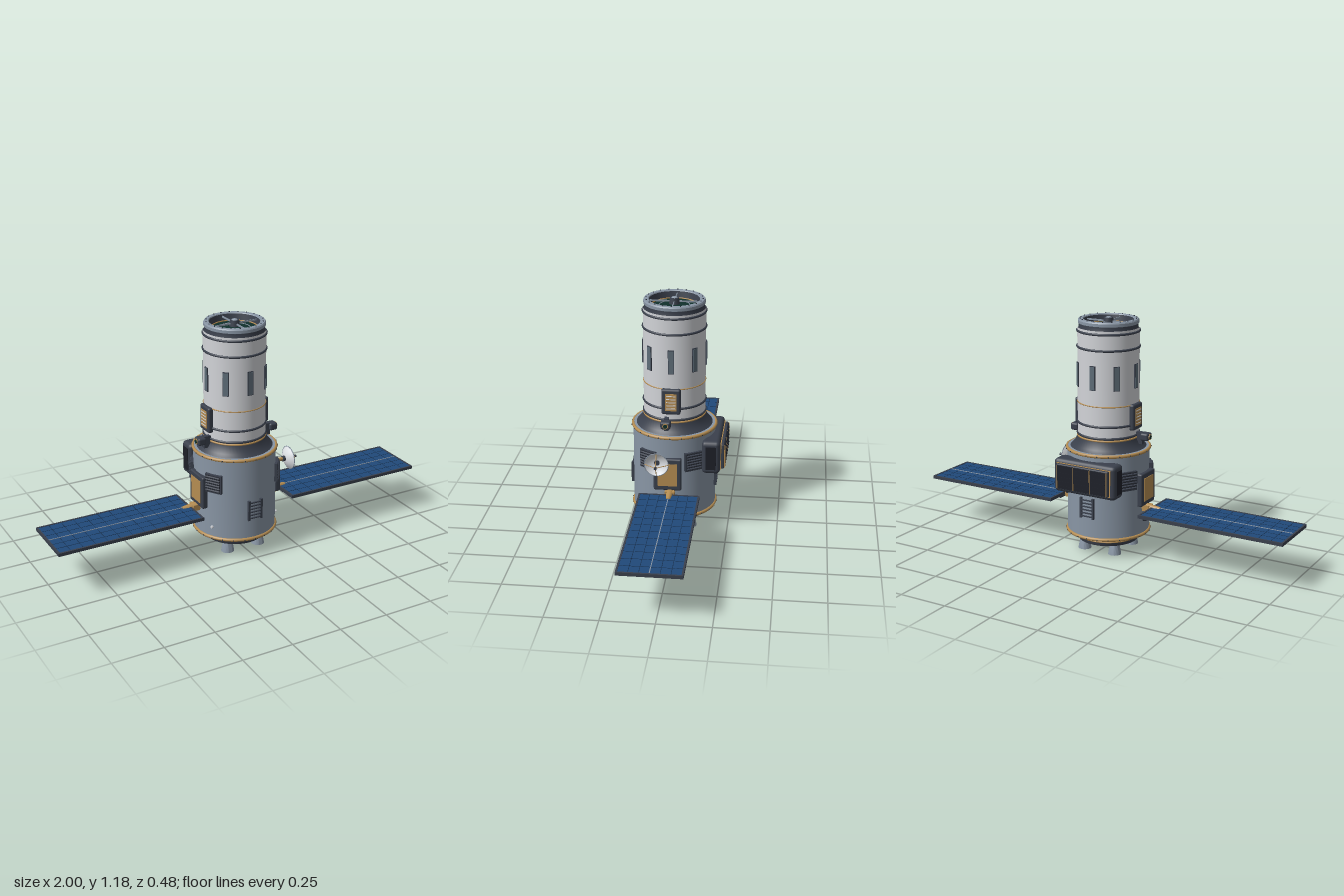
import * as THREE from 'three';
import { toCreasedNormals } from 'three/addons/utils/BufferGeometryUtils.js';
import { RoundedBoxGeometry } from 'three/addons/geometries/RoundedBoxGeometry.js';

const mat = (name, color, side = THREE.FrontSide) => {
  const m = new THREE.MeshStandardMaterial({ color, side });
  m.name = name;
  return m;
};

export function createModel() {
  const white = mat('pale grey', 0xd2d4d8), hull = mat('blue grey', 0x8996a5);
  const dark = mat('charcoal', 0x3a404c), gold = mat('gold', 0xb58d52);
  const blue = mat('solar blue', 0x20497a), line = mat('cell line', 0x16304f);
  const glass = mat('slate window', 0x5e6d78), black = mat('near black', 0x1d2028);
  const lens = mat('dark green lens', 0x10302c), dishMat = mat('dish white', 0xdcdfe3, THREE.DoubleSide);

  const model = new THREE.Group();
  model.name = 'spaceTelescope';
  const root = new THREE.Group();
  root.name = 'spacecraft';
  root.position.z = 0.026;
  model.add(root);

  const put = (parent, name, geo, m, x = 0, y = 0, z = 0) => {
    const mesh = new THREE.Mesh(geo, m);
    mesh.name = name;
    mesh.position.set(x, y, z);
    parent.add(mesh);
    return mesh;
  };
  const box = (p, name, m, w, h, d, x, y, z) => put(p, name, new THREE.BoxGeometry(w, h, d), m, x, y, z);
  const rbox = (p, name, m, w, h, d, r, x, y, z) => put(p, name, new RoundedBoxGeometry(w, h, d, 2, r), m, x, y, z);
  const cyl = (p, name, m, rTop, rBot, h, x, y, z, seg = 20) =>
    put(p, name, new THREE.CylinderGeometry(rTop, rBot, h, seg), m, x, y, z);
  // cylinder whose top end points along local +z
  const outCyl = (...a) => { const c = cyl(...a); c.rotation.x = Math.PI / 2; return c; };
  const ring = (name, m, r, tube, y) => {
    const t = put(root, name, new THREE.TorusGeometry(r, tube, 8, 64), m, 0, y, 0);
    t.rotation.x = Math.PI / 2;
    return t;
  };
  const lathe = (name, m, pts) => put(root, name, toCreasedNormals(
    new THREE.LatheGeometry(pts.map(p => new THREE.Vector2(p[0], p[1])), 64), 0.5), m);
  // group on the hull surface with local +z pointing outward
  const mount = (name, angle, r, y, parent = root) => {
    const g = new THREE.Group();
    g.name = name;
    g.rotation.y = angle;
    g.position.set(Math.sin(angle) * r, y, Math.cos(angle) * r);
    parent.add(g);
    return g;
  };

  // main hull, collar and base
  lathe('equipmentSection', hull, [[0, 0.095], [0.205, 0.095], [0.205, 0.535], [0, 0.535]]);
  lathe('collar', dark, [[0.19, 0.534], [0.173, 0.548], [0.151, 0.59], [0.151, 0.605], [0, 0.605]]);
  lathe('basePlate', dark, [[0, 0.05], [0.15, 0.05], [0.153, 0.056], [0.153, 0.095]]);
  ring('baseGoldRing', gold, 0.152, 0.004, 0.07);
  for (const y of [0.102, 0.528]) {
    ring('hullGoldRing', gold, 0.205, 0.0085, y);
    for (let i = 0; i < 24; i++) {
      const g = mount('ringBolt', i * Math.PI / 12, 0.213, y);
      outCyl(g, 'boltHead', dark, 0.003, 0.003, 0.005, 0, 0, 0, 6);
    }
  }

  // four engine nozzles
  for (const x of [-0.087, 0.087]) for (const z of [-0.087, 0.087]) {
    const pts = [[0.018, 0.004], [0.027, 0], [0.033, 0], [0.03, 0.018], [0.024, 0.044], [0.022, 0.052]];
    const n = lathe('engineNozzle', hull, pts);
    n.position.set(x, 0, z);
    cyl(root, 'nozzleThroat', black, 0.027, 0.027, 0.004, x, 0.004, z);
  }

  // telescope barrel with open top
  lathe('barrel', white, [[0.152, 0.6], [0.152, 1.13]]);
  lathe('apertureNeck', dark, [[0.153, 1.11], [0.145, 1.13], [0.145, 1.15]]);
  lathe('apertureRim', hull, [[0.143, 1.146], [0.149, 1.15], [0.149, 1.164], [0.145, 1.17], [0.125, 1.17], [0.122, 1.165]]);
  lathe('apertureWall', dark, [[0.122, 1.166], [0.115, 1.13]]);
  cyl(root, 'primaryLens', lens, 0.117, 0.117, 0.006, 0, 1.13, 0, 64);
  ring('innerGoldRing', gold, 0.112, 0.003, 1.135);
  ring('innerLensRing', hull, 0.075, 0.002, 1.134);
  for (let i = 0; i < 2; i++) box(root, 'spiderVane', hull, 0.244, 0.008, 0.004, 0, 1.155, 0).rotation.y = i * Math.PI / 2;
  cyl(root, 'secondaryHub', dark, 0.022, 0.026, 0.03, 0, 1.158, 0);
  cyl(root, 'hubCap', hull, 0.012, 0.016, 0.004, 0, 1.174, 0);
  for (let i = 0; i < 20; i++) {
    const a = i * Math.PI / 10;
    cyl(root, 'rimBolt', dark, 0.003, 0.003, 0.005, Math.sin(a) * 0.137, 1.171, Math.cos(a) * 0.137, 6);
  }
  for (const y of [0.602, 0.66, 1.035, 1.113]) ring('barrelBand', dark, 0.152, 0.006, y);
  ring('barrelGoldBand', gold, 0.152, 0.003, 0.76);
  ring('lowerGoldBand', gold, 0.152, 0.005, 0.59);

  // eight tall windows
  for (let i = 0; i < 8; i++) {
    const g = mount('barrelWindow', i * Math.PI / 4, 0.152, 0.9);
    box(g, 'windowFrame', dark, 0.03, 0.12, 0.009, 0, 0, 0);
    box(g, 'windowPane', glass, 0.025, 0.113, 0.004, 0, 0, 0.004);
  }

  // louvred vents on the four corners
  for (const a of [58, 122, 238, 302]) {
    const g = mount('louvreVent', a * Math.PI / 180, 0.205, 0.4);
    box(g, 'ventFrame', dark, 0.09, 0.096, 0.022, 0, 0, 0);
    box(g, 'ventRecess', black, 0.078, 0.084, 0.003, 0, 0, 0.011);
    for (let i = 0; i < 6; i++) box(g, 'ventSlat', dark, 0.078, 0.008, 0.01, 0, -0.035 + i * 0.014, 0.013).rotation.x = 0.5;
  }

  // access ladders front and back
  for (const a of [0, Math.PI]) {
    const g = mount('ladder', a, 0.207, 0.26);
    for (const x of [-0.034, 0.034]) box(g, 'ladderRail', dark, 0.011, 0.105, 0.014, x, 0, 0.001);
    for (let i = 0; i < 6; i++) box(g, 'ladderRung', dark, 0.064, 0.005, 0.008, 0, -0.042 + i * 0.0165, 0.004);
  }

  // equipment repeated on left and right flanks
  for (const s of [1, -1]) {
    const a = s * Math.PI / 2;
    const hatch = mount('accessHatch', a, 0.207, 0.34);
    rbox(hatch, 'hatchFrame', dark, 0.136, 0.168, 0.03, 0.008, -s * 0.012, 0, 0);
    box(hatch, 'hatchPanel', gold, 0.094, 0.118, 0.008, -s * 0.012, 0, 0.014);

    const bay = mount('instrumentBay', a, 0.15, 0.7);
    rbox(bay, 'bayFrame', dark, 0.092, 0.13, 0.036, 0.01, 0, 0, 0);
    box(bay, 'bayPanel', gold, 0.056, 0.088, 0.006, 0, 0, 0.017);
    for (let i = 0; i < 5; i++) box(bay, 'baySlat', white, 0.046, 0.004, 0.006, 0, -0.032 + i * 0.016, 0.019);

    const eye = mount('starTracker', a, 0.2, 0.598);
    eye.position.z = 0.021;
    rbox(eye, 'trackerBody', dark, 0.05, 0.038, 0.044, 0.01, 0, 0, 0);
    box(eye, 'trackerBracket', dark, 0.022, 0.06, 0.04, 0, -0.01, -0.035);
    outCyl(eye, 'trackerRing', gold, 0.014, 0.014, 0.008, 0, 0, 0.021);
    outCyl(eye, 'trackerLens', lens, 0.01, 0.01, 0.01, 0, 0, 0.022);

    const port = mount('sidePort', a, 0.207, 0.182);
    outCyl(port, 'portRim', dark, 0.014, 0.016, 0.02, 0, 0, 0);
    outCyl(port, 'portLens', lens, 0.009, 0.009, 0.022, 0, 0, 0);
    const stud = mount('hullStud', a - s * 0.5, 0.206, 0.16);
    outCyl(stud, 'studHead', white, 0.006, 0.009, 0.014, 0, 0, 0, 12);
  }

  // solar wings, built along local +x
  for (const s of [1, -1]) {
    const w = new THREE.Group();
    w.name = s > 0 ? 'leftSolarWing' : 'rightSolarWing';
    w.position.y = 0.242;
    w.rotation.y = s > 0 ? 0 : Math.PI;
    root.add(w);
    cyl(w, 'wingBoom', gold, 0.012, 0.024, 0.1, 0.245, 0, 0).rotation.z = -Math.PI / 2;
    box(w, 'boomBlock', gold, 0.035, 0.03, 0.048, 0.225, 0, 0);
    box(w, 'hingeBlock', dark, 0.07, 0.014, 0.05, 0.305, -0.022, 0);
    box(w, 'hingeBar', hull, 0.025, 0.008, 0.16, 0.3, -0.012, 0);
    box(w, 'panelCore', black, 0.74, 0.008, 0.285, 0.625, 0, 0);
    box(w, 'cellSheet', blue, 0.732, 0.003, 0.282, 0.625, 0.0045, 0);
    for (const z of [-0.1445, 0.1445]) box(w, 'longFrame', dark, 0.75, 0.016, 0.009, 0.625, 0, z);
    for (const x of [0.2545, 0.9955]) box(w, 'endFrame', dark, 0.009, 0.016, 0.298, x, 0, 0);
    for (let i = 1; i < 12; i++) box(w, 'cellColumnLine', line, 0.0025, 0.002, 0.282, 0.25 + i * 0.0625, 0.0058, 0);
    for (let i = 1; i < 6; i++) if (i !== 3)
      box(w, 'cellRowLine', line, 0.732, 0.002, 0.0025, 0.625, 0.0058, -0.141 + i * 0.047);
    box(w, 'centreSpine', hull, 0.732, 0.004, 0.004, 0.625, 0.0065, 0);
    box(w, 'undersideSpine', gold, 0.732, 0.005, 0.005, 0.625, -0.006, 0);
    for (const x of [0.41, 0.62, 0.83]) {
      box(w, 'undersideRib', gold, 0.004, 0.004, 0.282, x, -0.006, 0);
      box(w, 'panelLatch', dark, 0.012, 0.014, 0.014, x, -0.013, 0);
    }
  }

  // rear radiator pack
  const pack = mount('radiatorPack', Math.PI, 0.195, 0.415);
  rbox(pack, 'packBody', dark, 0.345, 0.17, 0.09, 0.02, 0, 0, 0);
  box(pack, 'packGoldTrim', gold, 0.3, 0.134, 0.008, 0, 0, 0.045);
  rbox(pack, 'packPlinth', dark, 0.29, 0.128, 0.022, 0.004, 0, 0, 0.052);
  for (let i = -1; i <= 1; i++) {
    box(pack, 'radiatorPanel', black, 0.088, 0.116, 0.008, i * 0.092, 0, 0.064);
    for (let k = 0; k < 5; k++) box(pack, 'radiatorFin', black, 0.084, 0.003, 0.006, i * 0.092, -0.044 + k * 0.022, 0.067);
  }
  for (const x of [-0.138, -0.046, 0.046, 0.138]) box(pack, 'radiatorDivider', gold, 0.003, 0.118, 0.008, x, 0, 0.065);
  for (const x of [-0.173, 0.173]) box(pack, 'packSidePanel', black, 0.004, 0.12, 0.05, x, 0, 0);

  // dish antenna on the left flank
  const dish = mount('dishAntenna', Math.PI / 2, 0.205, 0.42);
  dish.position.z = 0.058;
  outCyl(dish, 'dishBoom', gold, 0.008, 0.012, 0.06, 0, 0, 0.02, 12);
  outCyl(dish, 'dishJoint', dark, 0.014, 0.014, 0.014, 0, 0, 0.045, 12);
  const bowl = [0, 0.015, 0.03, 0.045, 0.058].map(r => new THREE.Vector2(r, r * r * 7.5));
  put(dish, 'dishBowl', new THREE.LatheGeometry(bowl, 40), dishMat, 0, 0, 0.05).rotation.x = Math.PI / 2;
  put(dish, 'dishRim', new THREE.TorusGeometry(0.058, 0.002, 6, 40), hull, 0, 0, 0.075);
  for (let i = 0; i < 4; i++) {
    const c = Math.cos(i * Math.PI / 2), d = Math.sin(i * Math.PI / 2);
    const path = new THREE.LineCurve3(new THREE.Vector3(c * 0.056, d * 0.056, 0.074), new THREE.Vector3(0, 0, 0.112));
    put(dish, 'feedStrut', new THREE.TubeGeometry(path, 1, 0.002, 6), gold);
  }
  outCyl(dish, 'feedHorn', dark, 0.007, 0.005, 0.014, 0, 0, 0.112, 12);

  return model;
}
